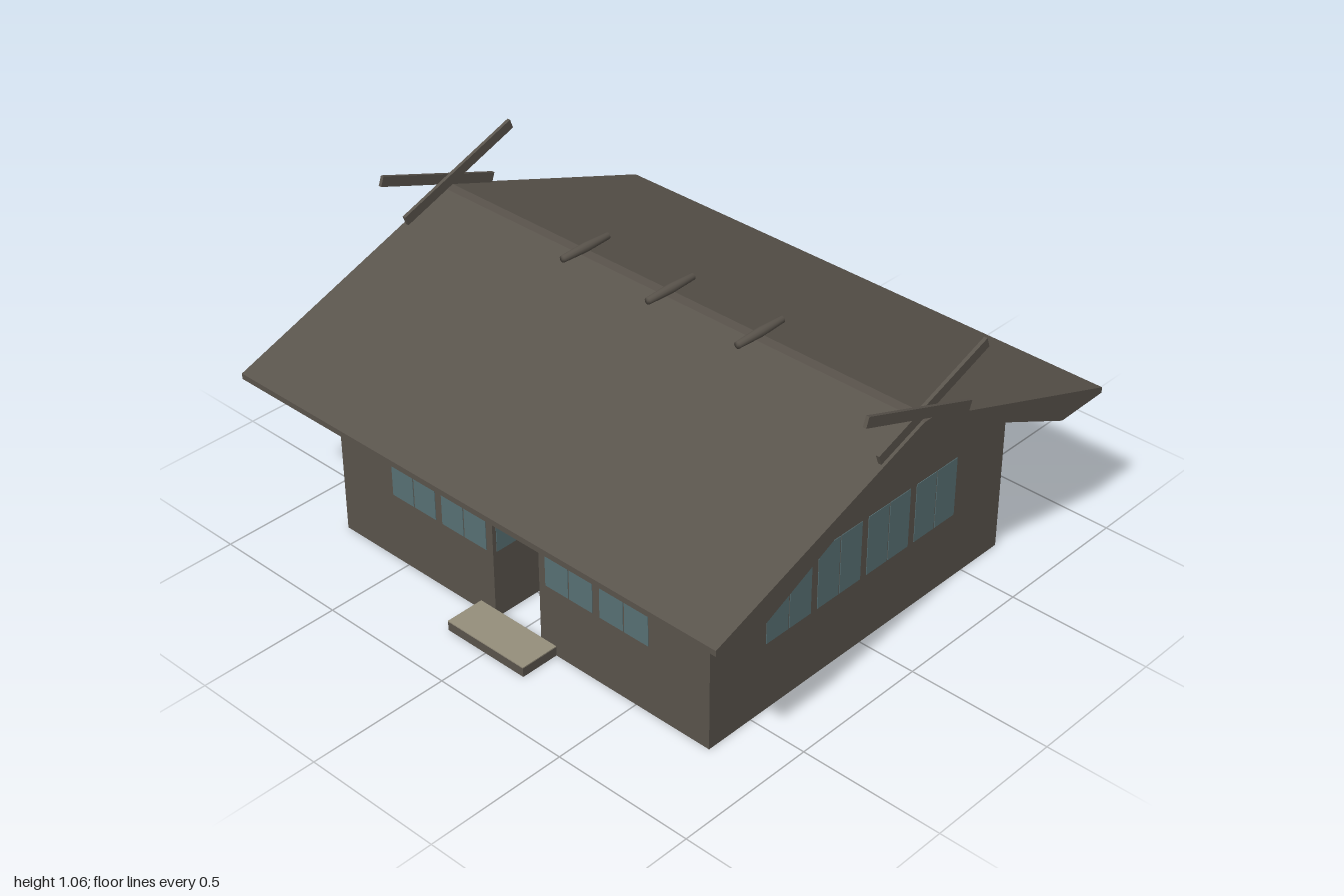
import * as THREE from 'three';

export function createModel() {
  const mat = (name, color) => {
    const m = new THREE.MeshStandardMaterial({ color });
    m.name = name;
    return m;
  };
  const timber = mat('brown timber', 0x5a544c);
  const plaster = mat('beige plaster', 0x968f7c);
  const glass = mat('teal glass', 0x587074);

  const model = new THREE.Group();
  model.name = 'hall';
  const add = (name, geo, material, x = 0, y = 0, z = 0, parent = model) => {
    const m = new THREE.Mesh(geo, material);
    m.name = name;
    m.position.set(x, y, z);
    parent.add(m);
    return m;
  };
  const box = (name, material, w, h, d, x, y, z, parent) =>
    add(name, new THREE.BoxGeometry(w, h, d), material, x, y, z, parent);
  const outline = pts => new THREE.Shape(pts.map(p => new THREE.Vector2(...p)));
  const extrude = (shape, depth) =>
    new THREE.ExtrudeGeometry(shape, { depth, bevelEnabled: false });

  const W = 0.793, D = 0.68, H = 0.58, T = 0.006; // half width, half depth, wall height, board
  const M = W * 2 / 7;                            // width of one wall bay
  const IW = W - M, ID = D - M;                   // inner wall line

  // Two-pane window on a wall facing along angle ry
  const paneGeo = new THREE.BoxGeometry(0.096, 0.215, T + 0.004);
  const windowAt = (x, z, ry) => {
    const g = new THREE.Group();
    g.name = 'window';
    g.position.set(x, 0.357, z);
    g.rotation.y = ry;
    for (const s of [-1, 1]) add('windowPane', paneGeo, glass, s * 0.0505, 0, 0, g);
    model.add(g);
  };

  // Outer and inner front walls share a doorway
  const doorWall = (half, door, top, bottom) => extrude(outline([
    [-half, bottom], [-door, bottom], [-door, 0.5], [door, 0.5],
    [door, bottom], [half, bottom], [half, top], [-half, top]]), T);
  add('frontWall', doorWall(W, 0.1, H, 0), timber, 0, 0, D - T);
  add('innerFrontWall', doorWall(IW, 0.1, H, 0), plaster, 0, 0, ID);
  box('backWall', timber, W * 2, H, T, 0, H / 2, -D + T / 2);
  box('innerBackWall', plaster, IW * 2, H, T, 0, H / 2, -ID - T / 2);

  // Gable walls and inner side walls
  const gable = extrude(outline([[-D, 0], [D, 0], [D, H], [0, 0.9], [-D, H]]), T);
  for (const s of [-1, 1]) {
    add('gableWall', gable, timber, s * (W - T / 2) - T / 2, 0, 0).rotation.y = Math.PI / 2;
    box('innerSideWall', plaster, T, H, ID * 2, s * (IW + T / 2), H / 2, 0);
  }

  // Partitions between the hollow bays
  for (let i = 0; i < 6; i++) {
    const x = (i - 2.5) * M;
    for (const s of [-1, 1]) {
      const isDoor = s > 0 && Math.abs(x) < M;
      const px = isDoor ? Math.sign(x) * (0.1 + T / 2) : x;
      box(isDoor ? 'doorJamb' : 'bayPartition', timber, T, H - 0.004, M - T, px, H / 2, s * (D - M / 2));
      if (isDoor) windowAt(px, D - M / 2, Math.PI / 2);
    }
  }
  for (let i = 0; i < 5; i++)
    for (const s of [-1, 1])
      box('bayPartition', timber, M - T, H - 0.004, T, s * (W - M / 2), H / 2, (i - 2) * M);

  // Windows on every side, outside and inside
  for (let i = -2; i <= 2; i++) {
    windowAt(i * M, -D + T / 2, 0);
    windowAt(i * M, -ID - T / 2, 0);
    if (i !== 0) {
      windowAt(i * M, D - T / 2, 0);
      windowAt(i * M, ID + T / 2, 0);
    }
  }
  for (let i = 0; i < 4; i++)
    for (const s of [-1, 1]) {
      windowAt(s * (W - T / 2), (i - 1.5) * M, Math.PI / 2);
      windowAt(s * (IW + T / 2), (i - 1.5) * M, Math.PI / 2);
    }

  // Floor and entrance step
  box('floor', plaster, IW * 2, 0.03, ID * 2, 0, 0.015, 0);
  box('step', timber, 0.33, 0.032, 0.14, 0, 0.016, D + 0.07);
  box('stepTop', plaster, 0.33, 0.004, 0.14, 0, 0.034, D + 0.07);

  // Gable roof with level soffits, thinning toward the ridge
  const roof = extrude(outline([
    [-0.885, 0.58], [-D, 0.576], [0, 0.896], [D, 0.576], [0.885, 0.58],
    [0.885, 0.6], [0.018, 0.913], [-0.018, 0.913], [-0.885, 0.6]]), 1.998);
  add('roof', roof, timber, -0.999).rotation.y = Math.PI / 2;

  // Crossed boards at both ends of the ridge
  for (const end of [-1, 1])
    for (const s of [-1, 1]) {
      const x = end * (s > 0 ? 0.994 : 0.982);
      box('crossedBoard', timber, 0.012, 0.035, 0.505, x, 0.953, s * 0.04)
        .rotation.x = -s * Math.atan2(0.175, 0.48);
    }

  // Barrel-shaped logs across the ridge
  const log = new THREE.LatheGeometry(
    [[0, -0.1], [0.012, -0.1], [0.016, 0], [0.012, 0.1], [0, 0.1]]
      .map(p => new THREE.Vector2(...p)), 12);
  for (const x of [-0.363, 0, 0.363]) add('ridgeLog', log, timber, x, 0.932, 0).rotation.x = Math.PI / 2;

  // Sagging twisted rope with small tassels over the door
  const sag = x => 0.546 + 0.018 * (x / 0.3) ** 2;
  for (let k = 0; k < 2; k++) {
    const pts = [];
    for (let i = 0; i <= 60; i++) {
      const x = -0.305 + 0.61 * i / 60, a = i * 0.5 + k * Math.PI;
      pts.push(new THREE.Vector3(x, sag(x) + 0.006 * Math.sin(a), 0.692 + 0.006 * Math.cos(a)));
    }
    add('ropeStrand', new THREE.TubeGeometry(new THREE.CatmullRomCurve3(pts), 100, 0.007, 6), k ? timber : plaster);
  }
  const tassel = new THREE.CylinderGeometry(0.004, 0.009, 0.026, 8);
  for (const x of [-0.205, -0.07, 0.07, 0.205]) add('ropeTassel', tassel, plaster, x, sag(x) - 0.022, 0.692);

  return model;
}
